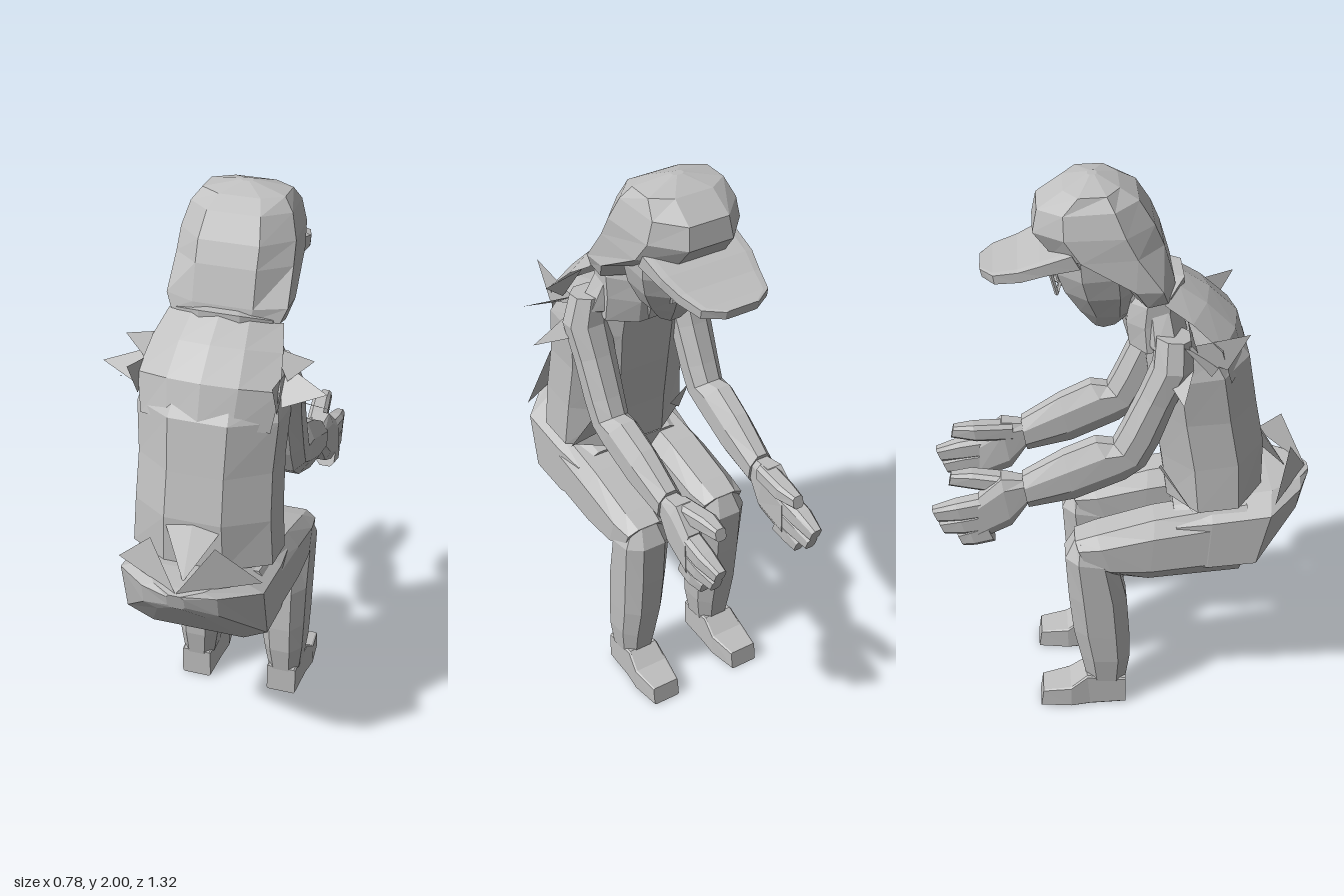
import * as THREE from 'three';

const grey = new THREE.MeshStandardMaterial({ color: 0xc0c0c0, flatShading: true, side: THREE.DoubleSide });
grey.name = 'plain grey';

function build(name, positions, index) {
  const g = new THREE.BufferGeometry();
  g.setAttribute('position', new THREE.Float32BufferAttribute(positions, 3));
  if (index) g.setIndex(index);
  const flat = index ? g.toNonIndexed() : g;
  flat.computeVertexNormals();
  const mesh = new THREE.Mesh(flat, grey);
  mesh.name = name;
  return mesh;
}

// Closed loft of chamfered boxes; q near 1 is boxy, 0.41 is a regular octagon.
// Each section spans two (z, y) points: [z1, y1, z2, y2, halfWidth, centreX, width factor at point 2]
function loft(name, sections, q = 0.42) {
  const pos = [], idx = [], n = 8;
  const outline = [[q, 1], [1, q], [1, -q], [q, -1], [-q, -1], [-1, -q], [-1, q], [-q, 1]];
  for (const [z1, y1, z2, y2, w, cx = 0, f = 1] of sections) {
    for (const [s, c] of outline) {
      const half = w * (1 + f + c * (1 - f)) / 2;
      pos.push(cx + s * half, (y1 + y2 + c * (y1 - y2)) / 2, (z1 + z2 + c * (z1 - z2)) / 2);
    }
  }
  const last = (sections.length - 1) * n;
  for (let r = 0; r < last; r += n) {
    for (let i = 0; i < n; i++) {
      const j = (i + 1) % n;
      idx.push(r + i, r + j, r + n + j, r + i, r + n + j, r + n + i);
    }
  }
  for (let i = 1; i < n - 1; i++) idx.push(0, i + 1, i, last, last + i, last + i + 1);
  // Turn the faces outward when the enclosed volume is negative
  let volume = 0;
  const p = (i) => new THREE.Vector3().fromArray(pos, i * 3);
  for (let t = 0; t < idx.length; t += 3) volume += p(idx[t]).dot(p(idx[t + 1]).cross(p(idx[t + 2])));
  if (volume < 0) idx.reverse();
  return build(name, pos, idx);
}

// Loft or triangle on both sides
const mirrorLoft = (name, sections, q) => [1, -1].map((s) =>
  loft((s > 0 ? 'left ' : 'right ') + name, sections.map(([a, b, c, d, w, x]) => [a, b, c, d, w, x * s]), q));

const mirrorShard = (name, a, b, c) => [1, -1].map((s) => {
  const corners = s > 0 ? [a, b, c] : [a, c, b];
  return build((s > 0 ? 'left ' : 'right ') + name, corners.flatMap(([x, y, z]) => [x * s, y, z]));
});

export function createModel() {
  const model = new THREE.Group();
  model.name = 'seated figure in a cap';

  // Jacket body
  model.add(loft('torso', [
    [0.48, 0.87, 0.15, 0.84, 0.245], [0.48, 1.04, 0.13, 1.0, 0.235],
    [0.45, 1.2, 0.1, 1.18, 0.23], [0.42, 1.38, 0.08, 1.34, 0.24],
    [0.38, 1.43, 0.07, 1.42, 0.225], [0.21, 1.48, 0.05, 1.46, 0.21],
    [0.18, 1.6, 0.05, 1.56, 0.16],
  ]));

  // Open upper back of the jacket
  const rows = [[1.37, 0.422, 0.22], [1.5, 0.385, 0.24], [1.59, 0.29, 0.22], [1.65, 0.2, 0.195]];
  const pos = [], idx = [];
  rows.forEach(([y, z, w], r) => {
    for (let i = 0; i < 5; i++) {
      const u = i / 2 - 1;
      pos.push(u * w, y - 0.03 * u * u, z - 0.075 * u * u);
      if (r < 3 && i < 4) {
        const a = r * 5 + i;
        idx.push(a, a + 1, a + 6, a, a + 6, a + 5);
      }
    }
  });
  model.add(build('upper back panel', pos, idx));

  // Collar and neck
  model.add(loft('collar', [
    [0.2, 1.46, 0.02, 1.42, 0.17], [0.2, 1.57, 0.01, 1.5, 0.165],
    [0.2, 1.66, 0.02, 1.57, 0.165], [0.15, 1.66, 0.03, 1.6, 0.11],
  ]));
  model.add(loft('neck', [[0.17, 1.45, 0.02, 1.42, 0.08], [0.13, 1.65, -0.03, 1.6, 0.08]]));

  // Head
  model.add(loft('face', [
    [0.0, 1.485, -0.09, 1.465, 0.045], [0.04, 1.53, -0.14, 1.53, 0.09],
    [0.06, 1.62, -0.19, 1.61, 0.135], [0.06, 1.7, -0.215, 1.68, 0.155],
    [0.06, 1.78, -0.225, 1.77, 0.16],
  ]));
  model.add(loft('nose', [
    [-0.18, 1.69, -0.215, 1.7, 0.012], [-0.17, 1.62, -0.225, 1.63, 0.022], [-0.16, 1.6, -0.19, 1.6, 0.015],
  ]));
  model.add(loft('cap and hood', [
    [0.17, 1.63, 0.04, 1.6, 0.185], [0.165, 1.67, -0.01, 1.67, 0.205],
    [0.13, 1.79, -0.23, 1.76, 0.205, 0, 0.87], [0.1, 1.86, -0.29, 1.835, 0.205, 0, 0.8],
    [0.05, 1.94, -0.275, 1.91, 0.18, 0, 0.82], [-0.01, 1.975, -0.19, 1.97, 0.14],
    [-0.08, 2.0, -0.11, 2.0, 0.02],
  ], 0.5));
  model.add(loft('cap brim', [
    [-0.17, 1.795, -0.14, 1.74, 0.175], [-0.27, 1.76, -0.25, 1.72, 0.17], [-0.34, 1.73, -0.33, 1.69, 0.15],
    [-0.42, 1.71, -0.415, 1.675, 0.125], [-0.463, 1.705, -0.455, 1.672, 0.06],
  ], 0.85));

  // Square glasses
  for (const s of [1, -1]) {
    const rim = new THREE.Mesh(new THREE.TorusGeometry(0.055, 0.007, 4, 4), grey);
    rim.name = s > 0 ? 'left glasses rim' : 'right glasses rim';
    rim.position.set(s * 0.062, 1.665, -0.22);
    rim.rotation.set(-0.25, s * 0.15, Math.PI / 4);
    model.add(rim);
  }
  const bridge = new THREE.Mesh(new THREE.BoxGeometry(0.05, 0.01, 0.01), grey);
  bridge.name = 'glasses bridge';
  bridge.position.set(0, 1.68, -0.226);
  model.add(bridge);

  // Arms
  model.add(...mirrorLoft('arm', [
    [0.22, 1.5, 0.1, 1.51, 0.06, 0.18], [0.22, 1.4, 0.09, 1.41, 0.075, 0.197],
    [0.16, 1.26, 0.05, 1.31, 0.067, 0.195], [0.11, 1.12, -0.01, 1.18, 0.062, 0.195],
    [0.065, 1.03, -0.04, 1.12, 0.058, 0.195], [0.0, 0.98, -0.1, 1.13, 0.058, 0.195],
    [-0.17, 0.905, -0.21, 1.08, 0.055, 0.19], [-0.33, 0.87, -0.35, 0.995, 0.045, 0.185],
  ]));
  model.add(...mirrorLoft('palm', [
    [-0.33, 0.89, -0.34, 0.98, 0.036, 0.185], [-0.39, 0.805, -0.42, 0.99, 0.046, 0.185],
    [-0.51, 0.75, -0.5, 0.92, 0.036, 0.195],
  ], 0.6));
  model.add(...mirrorLoft('thumb', [
    [-0.38, 0.92, -0.38, 0.985, 0.035, 0.175], [-0.51, 0.93, -0.52, 0.995, 0.033, 0.155],
    [-0.6, 0.945, -0.59, 0.988, 0.02, 0.155],
  ], 0.6));
  // Fanned fingers
  [[0.88, -0.655, 0.85], [0.825, -0.635, 0.8], [0.78, -0.575, 0.75]].forEach(([y, z, tipY], i) => {
    const midY = (y + tipY) / 2, midZ = (z - 0.48) / 2;
    model.add(...mirrorLoft('finger ' + (i + 1), [
      [-0.45, y - 0.038, -0.48, y + 0.04, 0.034, 0.194],
      [midZ + 0.01, midY - 0.036, midZ - 0.01, midY + 0.036, 0.032, 0.197],
      [z + 0.015, tipY - 0.028, z - 0.005, tipY + 0.024, 0.02, 0.193],
    ], 0.6));
  });

  // Hips and legs
  model.add(loft('hips', [
    [0.66, 0.87, 0.645, 0.81, 0.03], [0.62, 0.875, 0.6, 0.76, 0.13],
    [0.51, 0.875, 0.44, 0.58, 0.25], [0.3, 0.85, 0.28, 0.57, 0.25],
    [0.17, 0.82, 0.19, 0.6, 0.235],
  ], 0.65));
  model.add(...mirrorLoft('thigh', [
    [0.42, 0.85, 0.4, 0.58, 0.088, 0.16], [0.1, 0.8, 0.08, 0.555, 0.092, 0.16],
    [-0.1, 0.745, -0.04, 0.575, 0.09, 0.16], [-0.175, 0.72, -0.13, 0.62, 0.08, 0.16],
  ], 0.55));
  model.add(...mirrorLoft('shin', [
    [-0.1, 0.7, -0.175, 0.718, 0.06, 0.16], [-0.03, 0.62, -0.21, 0.65, 0.088, 0.16],
    [0.005, 0.46, -0.2, 0.48, 0.085, 0.16], [0.015, 0.3, -0.185, 0.33, 0.08, 0.162],
    [0.015, 0.2, -0.16, 0.21, 0.074, 0.165], [0.0, 0.1, -0.14, 0.11, 0.06, 0.167],
  ], 0.5));
  model.add(...mirrorLoft('shoe', [
    [0.0, 0.11, 0.0, 0, 0.055, 0.168], [-0.14, 0.13, -0.13, 0, 0.06, 0.168],
    [-0.2, 0.085, -0.2, 0, 0.067, 0.17], [-0.3, 0.07, -0.31, 0, 0.052, 0.172],
  ], 0.9));

  // Ragged shoulder points
  model.add(...mirrorShard('upper shoulder point', [0.18, 1.57, 0.2], [0.24, 1.47, 0.23], [0.32, 1.54, 0.2]));
  model.add(...mirrorShard('middle shoulder point', [0.2, 1.5, 0.16], [0.24, 1.41, 0.3], [0.38, 1.46, 0.26]));
  model.add(...mirrorShard('lower shoulder point', [0.23, 1.4, 0.22], [0.23, 1.355, 0.14], [0.39, 1.356, 0.175]));
  model.add(...mirrorShard('side shoulder flap', [0.22, 1.47, 0.15], [0.235, 1.4, 0.33], [0.24, 1.53, 0.4]));

  // Pointed hems at the waist
  model.add(...mirrorShard('rear waist flap', [0, 0.87, 0.65], [0.25, 0.875, 0.51], [0.11, 1.02, 0.575]));
  model.add(...mirrorShard('rear jacket hem', [0, 1.03, 0.48], [0, 0.87, 0.58], [0.11, 1.04, 0.46]));
  model.add(...mirrorShard('front jacket hem', [0.2, 1.02, 0.12], [0.23, 0.84, 0.23], [0.12, 0.96, 0.12]));
  return model;
}
